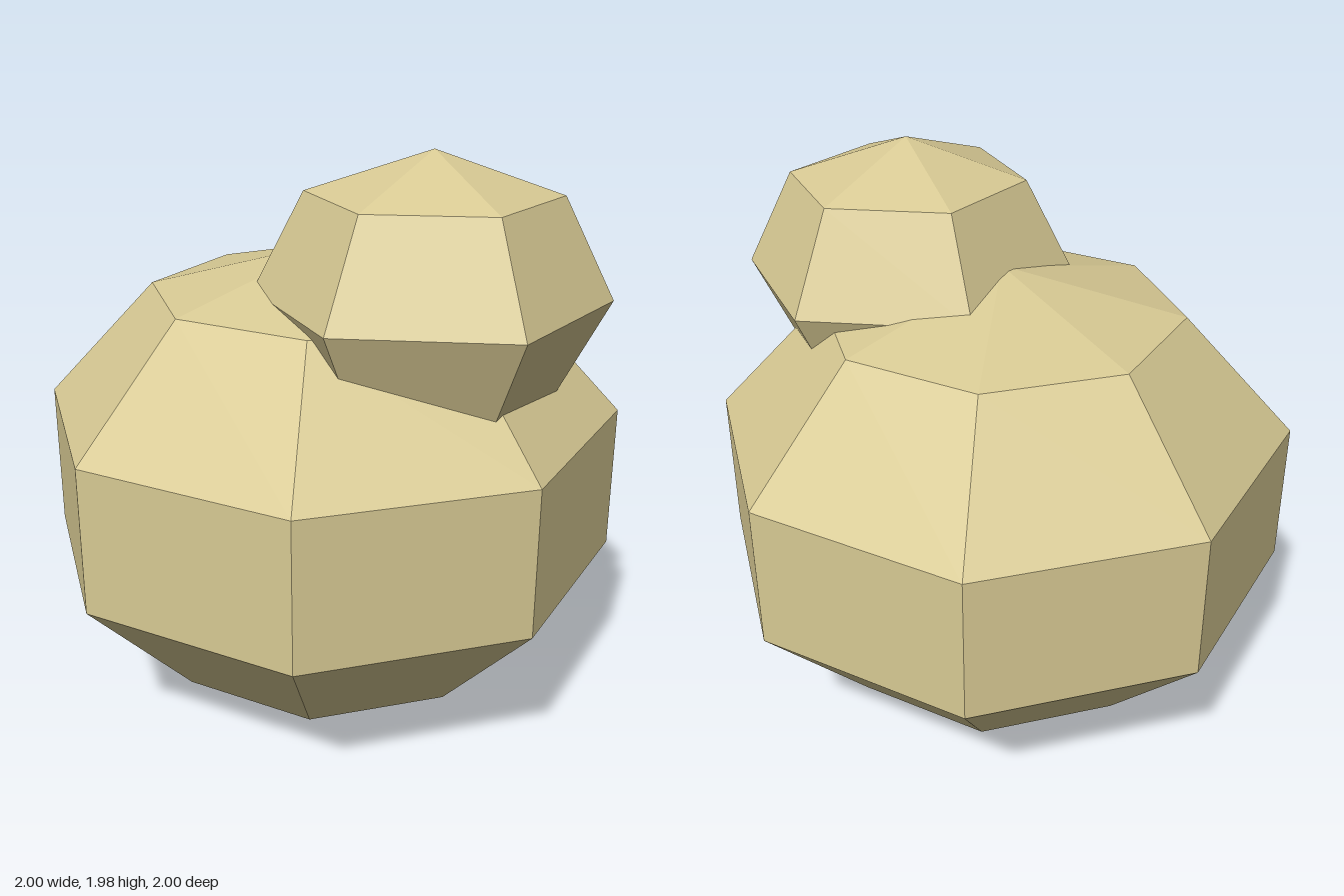
import * as THREE from 'three';

const material = new THREE.MeshStandardMaterial({ color: 0xd8ca94, flatShading: true });

// Low-poly squashed sphere: equal radius in x and z, its own half-height in y
function boulder(name, radius, halfHeight, sides, rings, position) {
  const geometry = new THREE.SphereGeometry(1, sides, rings);
  geometry.scale(radius, halfHeight, radius);
  const mesh = new THREE.Mesh(geometry, material);
  mesh.name = name;
  mesh.position.set(...position);
  return mesh;
}

export function createModel() {
  const group = new THREE.Group();
  group.name = 'stackedBoulders';

  // Wide eight-sided base; its two middle rings have radius 1
  group.add(boulder('largeBoulder', 1 / Math.sin(Math.PI * 0.4), 0.815, 8, 5, [0, 0.82, 0]));

  // Smaller six-sided boulder sunk into the top, off to the front left
  group.add(boulder('smallBoulder', 0.577, 0.465, 6, 4, [0.35, 1.523, 0.233]));

  return group;
}
